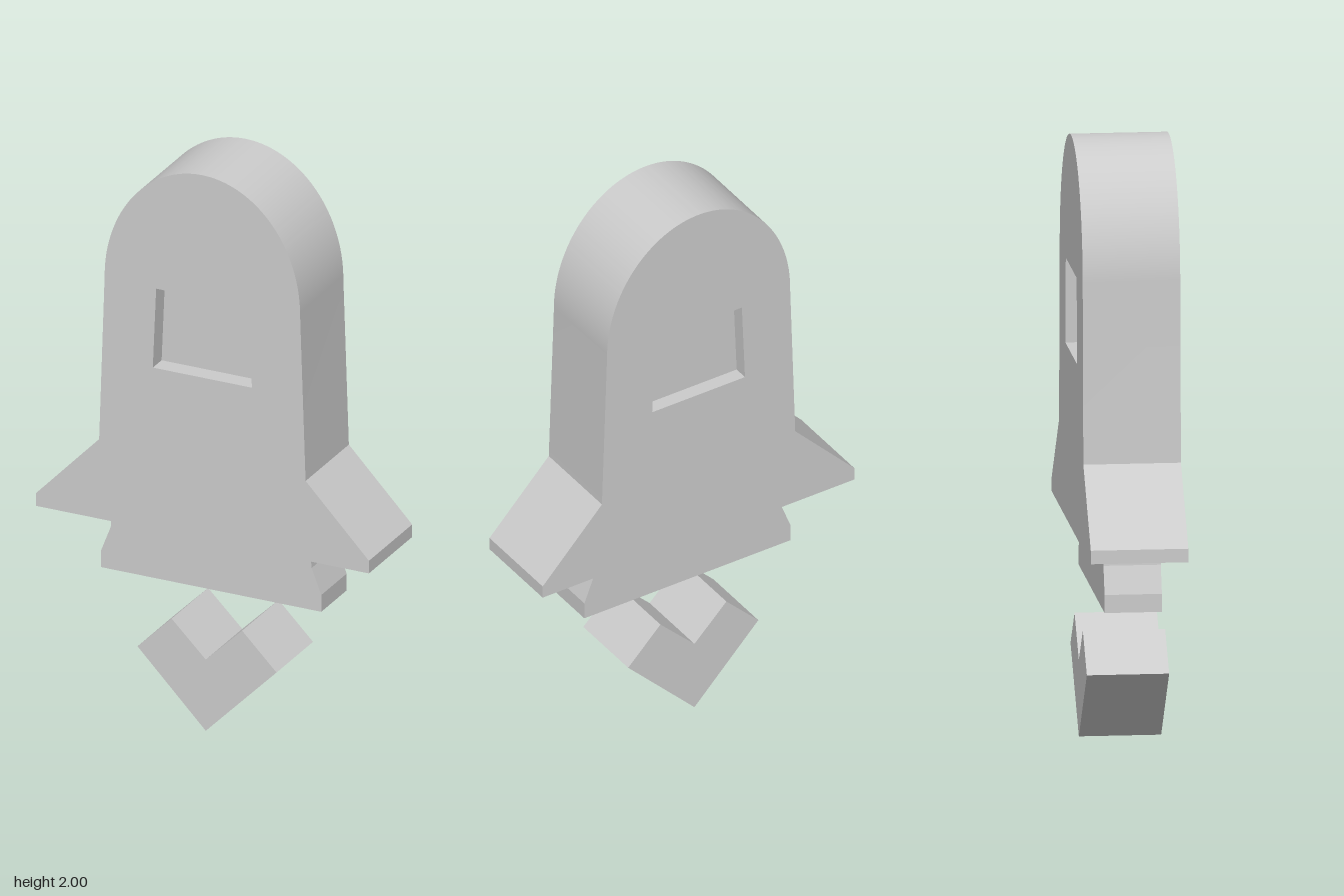
import * as THREE from 'three';
import { toCreasedNormals } from 'three/addons/utils/BufferGeometryUtils.js';

const material = new THREE.MeshStandardMaterial({ color: 0xcccccc });
const points = (list) => list.map(([x, y]) => new THREE.Vector2(x, y));

// Extrudes an outline between two depths, keeping curved walls smooth.
function slab(name, shape, back, front) {
  const geometry = new THREE.ExtrudeGeometry(shape, {
    depth: front - back, bevelEnabled: false, curveSegments: 64,
  });
  geometry.translate(0, 0, back);
  const mesh = new THREE.Mesh(toCreasedNormals(geometry, 0.2), material);
  mesh.name = name;
  return mesh;
}

export function createModel() {
  const group = new THREE.Group();
  group.name = 'rocket';

  // Hull with swept fins and a domed nose
  const hull = new THREE.Shape(points([
    [-0.375, 0.98], [-0.605, 0.74], [-0.605, 0.695],
    [0.605, 0.695], [0.605, 0.74], [0.375, 0.98], [0.355, 1.57],
  ]));
  hull.absellipse(0, 1.57, 0.355, 0.43, 0, Math.PI, false);
  hull.closePath();

  // Window opening, recessed on both faces around a central pane
  const opening = points([[-0.18, 1.275], [-0.168, 1.56], [0.168, 1.56], [0.18, 1.275]]);
  hull.holes.push(new THREE.Path(opening));
  group.add(slab('hull', hull, -0.16, 0.16));
  group.add(slab('windowPane', new THREE.Shape(opening), -0.11, 0.095));

  // Flared engine nozzle
  group.add(slab('nozzle', new THREE.Shape(points([
    [-0.4, 0.49], [0.4, 0.49], [0.4, 0.55], [0.365, 0.64], [0.36, 0.695],
    [-0.36, 0.695], [-0.365, 0.64], [-0.4, 0.55],
  ])), -0.093, 0.095));

  // Chevron flame floating below the nozzle
  group.add(slab('flame', new THREE.Shape(points([
    [0, 0], [0.257, 0.26], [0.132, 0.385], [0, 0.255], [-0.124, 0.377], [-0.248, 0.253],
  ])), -0.135, 0.135));

  return group;
}
